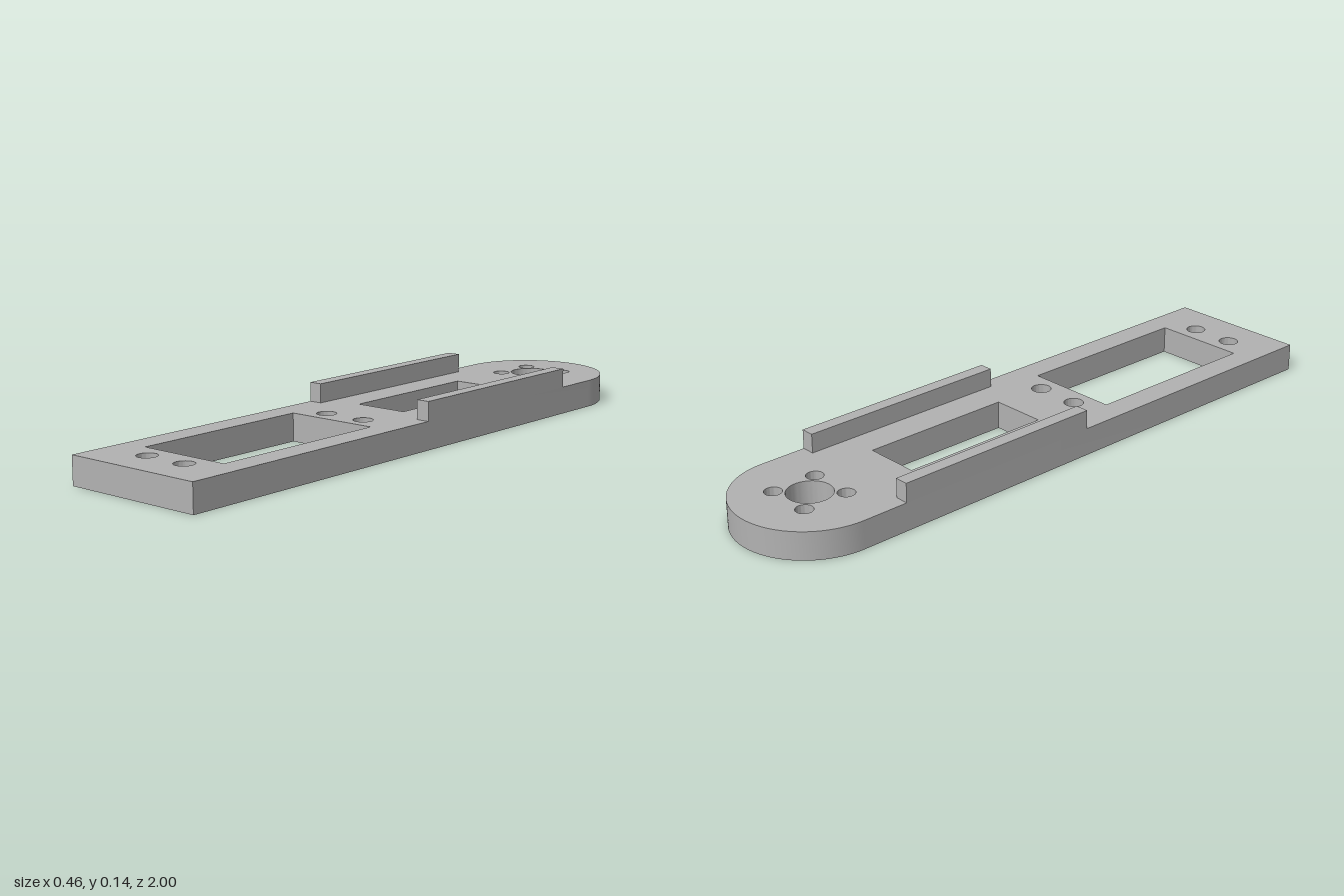
import * as THREE from 'three';
import { toCreasedNormals } from 'three/addons/utils/BufferGeometryUtils.js';

const HALF_WIDTH = 0.23;
const THICKNESS = 0.086;

// Plan shapes are drawn with y = -z, then laid flat.
function roundHole(x, z, r) {
  return new THREE.Path().absarc(x, -z, r, 0, Math.PI * 2, true);
}

function rectHole(x0, x1, z0, z1) {
  return new THREE.Path([[x0, -z0], [x1, -z0], [x1, -z1], [x0, -z1]]
    .map(([x, y]) => new THREE.Vector2(x, y))).closePath();
}

export function createModel() {
  const group = new THREE.Group();
  group.name = 'mountingArm';
  const grey = new THREE.MeshStandardMaterial({ color: 0xb2b2b2 });
  grey.name = 'grey';

  // Plate outline: square front end, rounded back end
  const outline = new THREE.Shape();
  outline.moveTo(-HALF_WIDTH, -1);
  outline.lineTo(HALF_WIDTH, -1);
  outline.lineTo(HALF_WIDTH, 0.77);
  outline.absarc(0, 0.77, HALF_WIDTH, 0, Math.PI, false);
  outline.closePath();

  // Two rectangular windows and the central shaft hole
  outline.holes.push(
    rectHole(-0.15, 0.15, 0.225, 0.812),
    rectHole(-0.088, 0.086, -0.488, 0),
    roundHole(0, -0.775, 0.067),
  );
  // Screw holes
  for (const x of [-0.071, 0.071]) {
    for (const z of [0.165, 0.877]) outline.holes.push(roundHole(x, z, 0.03));
    for (const z of [-0.846, -0.704]) outline.holes.push(roundHole(x, z, 0.026));
  }

  const flat = new THREE.ExtrudeGeometry(outline, {
    depth: THICKNESS, bevelEnabled: false, curveSegments: 32,
  });
  flat.rotateX(-Math.PI / 2);
  const plate = new THREE.Mesh(toCreasedNormals(flat, Math.PI / 6), grey);
  plate.name = 'plate';
  group.add(plate);

  // Raised rails along both sides
  const railWidth = 0.042, railHeight = 0.059, railLength = 0.685;
  for (const side of [-1, 1]) {
    const rail = new THREE.Mesh(new THREE.BoxGeometry(railWidth, railHeight, railLength), grey);
    rail.name = side > 0 ? 'leftRail' : 'rightRail';
    rail.position.set(side * (HALF_WIDTH - railWidth / 2), THICKNESS + railHeight / 2, -0.281);
    group.add(rail);
  }

  return group;
}
